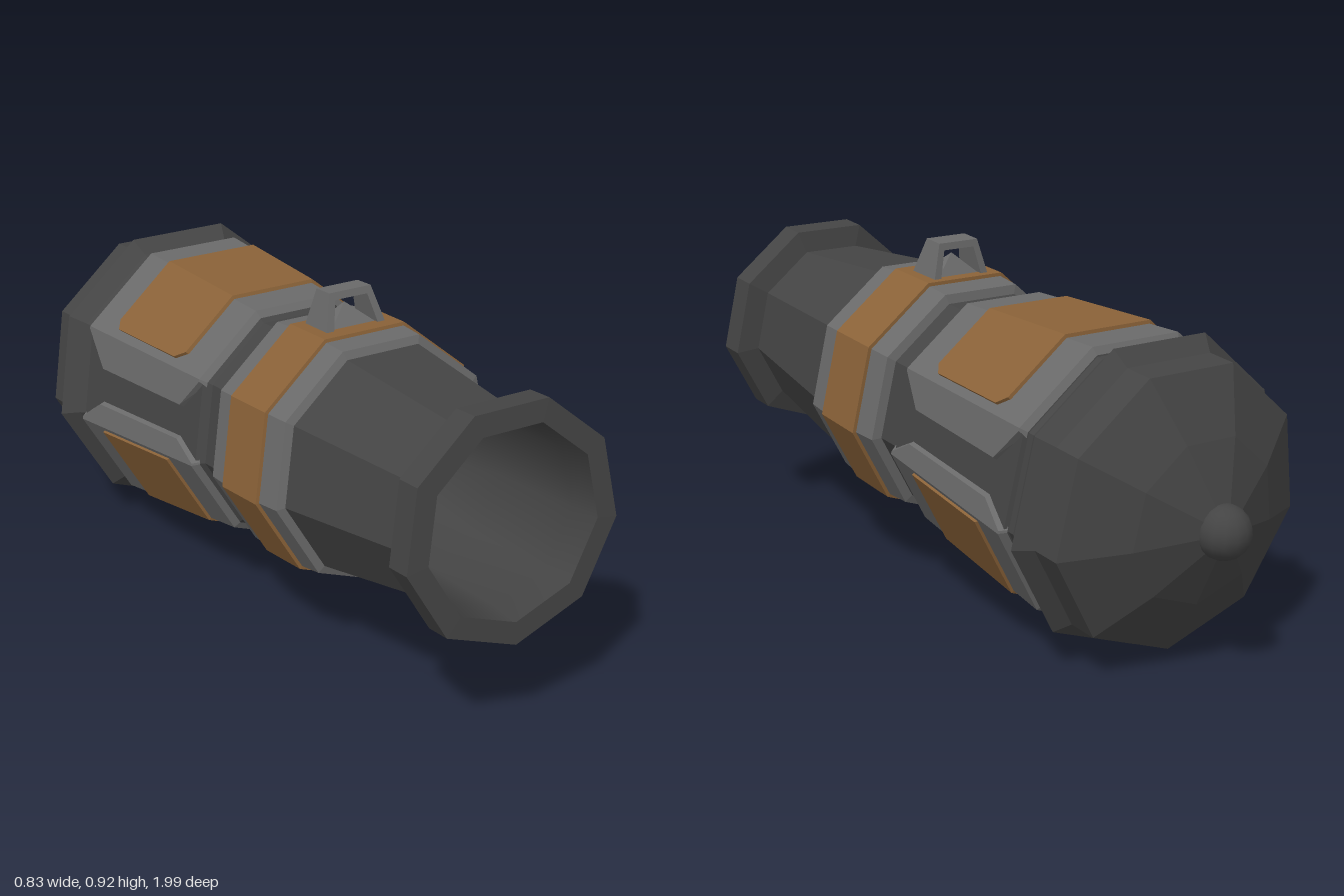
import * as THREE from 'three';

const SIDES = 9;
const rad = THREE.MathUtils.degToRad;

// nine-sided turned section along +z, one corner pointing straight down
function turned(profile, smooth = false) {
  const g = new THREE.LatheGeometry(profile.map(([z, r]) => new THREE.Vector2(r, z)), SIDES);
  g.rotateX(Math.PI / 2);
  return smooth ? g : flat(g);
}

function flat(g) {
  const f = g.index ? g.toNonIndexed() : g;
  f.computeVertexNormals();
  return f;
}

// point on the nine-sided section of corner radius R
function onSection(deg, R, z) {
  const d = ((((deg + 90) % 40) + 40) % 40) - 20;
  const r = R * Math.cos(rad(20)) / Math.cos(rad(d));
  return [r * Math.cos(rad(deg)), r * Math.sin(rad(deg)), z];
}

// corner radius of the reinforced shell along its length
const shellRadius = (z) => 0.345 - z * 0.09;

// raised plate wrapped on the shell: rows of [z, edge angles...] with a sloped rim
function wrappedPlate(rows, lift, rimDrop, rimWidth) {
  const nR = rows.length, nC = rows[0].angles.length;
  const at = (i, j) => {
    const ci = Math.min(Math.max(i, 0), nR - 1), cj = Math.min(Math.max(j, 0), nC - 1);
    const rim = ci !== i || cj !== j;
    const z = rows[ci].z + (i - ci) * rimWidth;
    const deg = rows[ci].angles[cj] + (j - cj) * rimWidth * 100;
    return onSection(deg, shellRadius(rows[ci].z) + lift - (rim ? rimDrop : 0), z);
  };
  const pos = [];
  for (let i = -1; i < nR; i++) {
    for (let j = -1; j < nC; j++) {
      const a = at(i, j), b = at(i, j + 1), c = at(i + 1, j + 1), d = at(i + 1, j);
      pos.push(...a, ...b, ...c, ...a, ...c, ...d);
    }
  }
  const g = new THREE.BufferGeometry();
  g.setAttribute('position', new THREE.Float32BufferAttribute(pos, 3));
  return flat(g);
}

// rows for a plate over the top (centre 90) or the bottom (centre -90)
function plateRows(spans, corners, centre) {
  return spans.map(([z, edge]) => ({
    z, angles: [edge, ...corners, 2 * centre - edge].sort((p, q) => p - q),
  }));
}

export function createModel() {
  const iron = new THREE.MeshStandardMaterial({ color: 0x444444 });
  iron.name = 'darkIron';
  const steel = new THREE.MeshStandardMaterial({ color: 0x6a6a6a });
  steel.name = 'greySteel';
  const bronze = new THREE.MeshStandardMaterial({ color: 0x8a6238 });
  bronze.name = 'bronze';

  const model = new THREE.Group();
  model.name = 'cannon';
  const barrel = new THREE.Group();
  barrel.name = 'tiltedBarrel';
  barrel.position.y = 0.485;
  barrel.rotation.x = -0.09;
  model.add(barrel);

  const add = (name, geometry, material) => {
    const m = new THREE.Mesh(geometry, material);
    m.name = name;
    barrel.add(m);
    return m;
  };

  // breech cap with its sharp ridge
  add('breechCap', turned([
    [-0.935, 0], [-0.925, 0.06], [-0.86, 0.22], [-0.77, 0.379], [-0.685, 0.379],
    [-0.645, 0.42], [-0.605, 0.38], [-0.585, 0.37], [-0.55, 0.37],
  ]), iron);
  const knob = add('breechKnob', new THREE.SphereGeometry(0.07, 14, 10), iron);
  knob.position.z = -0.932;

  // dark body under the shell plates
  add('body', turned([
    [-0.57, 0.36], [-0.56, 0.382], [0.0, 0.332], [0.02, 0.312], [0.1, 0.312],
  ]), iron);

  // upper and lower shell plates, bulging onto the side facets
  const shellSpans = (end, mid) => [[-0.555, end], [-0.47, mid], [-0.08, mid], [0.0, end]];
  add('upperShell', wrappedPlate(plateRows(shellSpans(29, 15), [30, 70, 110, 150], 90), 0, 0.02, 0.012), steel);
  add('lowerShell', wrappedPlate(plateRows(shellSpans(-9, -1), [-10, -50, -90, -130, -170], -90), 0, 0.02, 0.012), steel);

  // bronze plates set on the shells
  const upperSpans = [[-0.445, 38], [-0.42, 34], [-0.14, 34], [-0.11, 38]];
  add('upperBronzePlate', wrappedPlate(plateRows(upperSpans, [70, 110], 90), 0.01, 0.012, 0.003), bronze);
  const lowerSpans = [[-0.445, -12], [-0.12, -12]];
  add('lowerBronzePlate', wrappedPlate(plateRows(lowerSpans, [-50, -90, -130], -90), 0.008, 0.01, 0.003), bronze);

  // middle reinforcing ring with bronze band
  add('middleRing', turned([
    [0.095, 0.3], [0.105, 0.338], [0.18, 0.342], [0.34, 0.34], [0.42, 0.333], [0.43, 0.3],
  ]), steel);
  add('bronzeBand', turned([
    [0.178, 0.335], [0.18, 0.352], [0.345, 0.349], [0.347, 0.335],
  ]), bronze);

  // front barrel and flared muzzle
  add('frontBarrel', turned([[0.42, 0.311], [0.89, 0.246]]), iron);
  add('muzzleRing', turned([
    [0.875, 0.24], [0.892, 0.31], [0.965, 0.31], [0.967, 0.25],
  ]), iron);
  add('bore', turned([
    [0.967, 0.25], [0.88, 0.24], [0.6, 0.23], [0.35, 0.16], [0.22, 0],
  ], true), iron);

  // lifting lug: trapezoid loop narrowing towards its top
  const loop = new THREE.Shape([[-0.09, 0], [0.09, 0], [0.062, 0.105], [-0.062, 0.105]]
    .map(([x, y]) => new THREE.Vector2(x, y)));
  loop.holes.push(new THREE.Path([[-0.066, 0.01], [-0.048, 0.086], [0.048, 0.086], [0.066, 0.01]]
    .map(([x, y]) => new THREE.Vector2(x, y))));
  const lugGeometry = new THREE.ExtrudeGeometry(loop, { depth: 0.11, bevelEnabled: false });
  lugGeometry.translate(0, 0, -0.055);
  const p = lugGeometry.attributes.position;
  for (let i = 0; i < p.count; i++) p.setZ(i, p.getZ(i) * (1 - 4.2 * p.getY(i)));
  const lug = add('liftingLug', flat(lugGeometry), steel);
  lug.position.set(0, 0.318, 0.252);

  // small peaked block inside the lug
  const peak = new THREE.ConeGeometry(0.1, 0.06, 4);
  peak.rotateY(Math.PI / 4);
  peak.scale(1, 1, 0.6);
  add('lugPeak', flat(peak), steel).position.set(0, 0.354, 0.252);

  return model;
}
